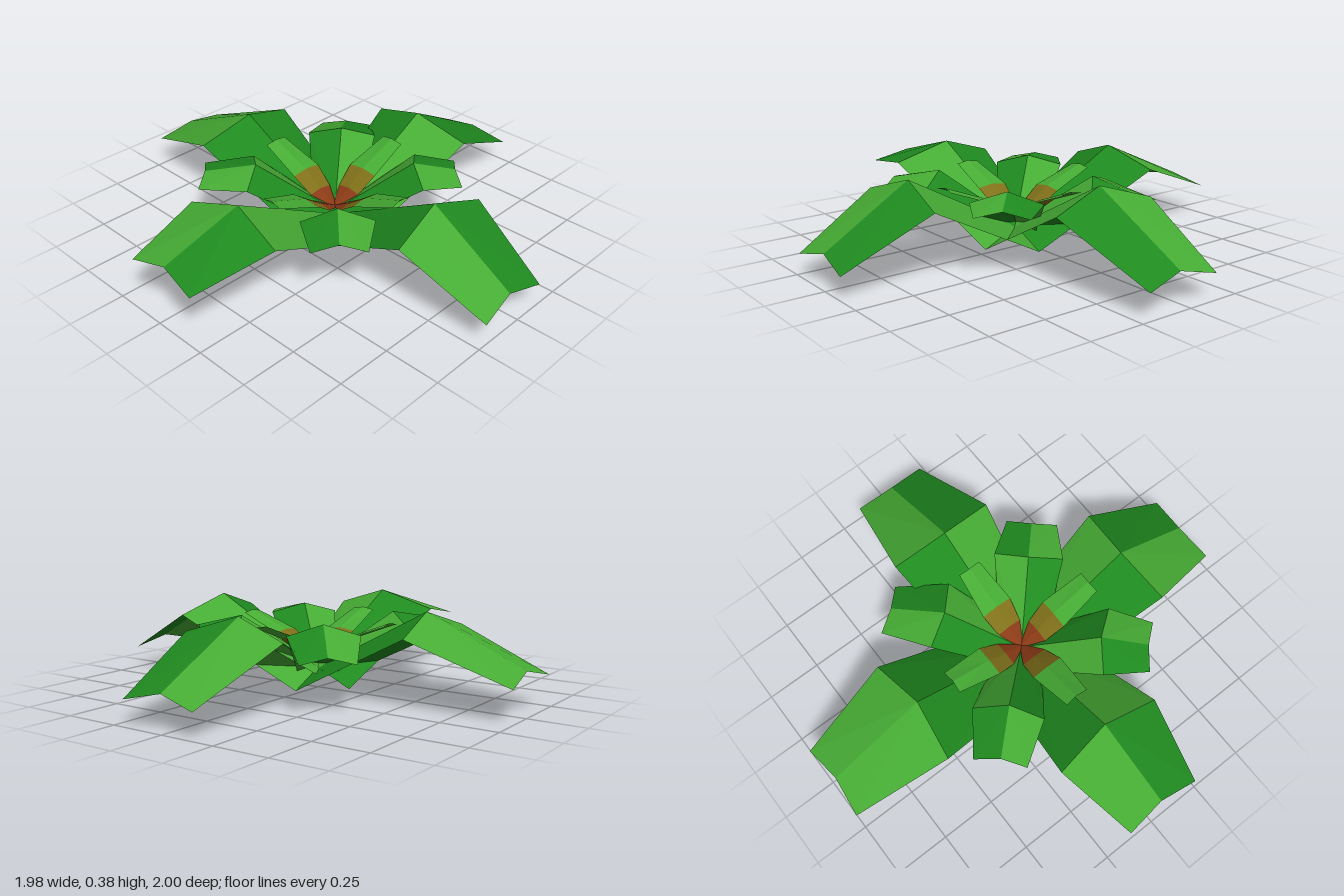
import * as THREE from 'three';

const material = (color) => new THREE.MeshStandardMaterial({ color, flatShading: true, side: THREE.DoubleSide });

// Sections run root to tip: [ridge distance, ridge height, edge distance, edge height, half width].
// colours[i] holds the materials of the two halves (-side, +side) of segment i.
function foldedLeaf(name, degrees, sections, colours) {
  const leaf = new THREE.Group();
  leaf.name = name;
  leaf.rotation.y = THREE.MathUtils.degToRad(degrees);
  const byMaterial = new Map();
  for (let i = 0; i < sections.length - 1; i++) {
    [-1, 1].forEach((side, k) => {
      const ridge = ([d, y]) => [0, y, d];
      const edge = ([, , d, y, w]) => [side * w, y, d];
      const a = ridge(sections[i]), b = ridge(sections[i + 1]);
      const c = edge(sections[i + 1]), d = edge(sections[i]);
      const corners = side > 0 ? [a, b, c, a, c, d] : [a, c, b, a, d, c];
      const mat = colours[i][k];
      if (!byMaterial.has(mat)) byMaterial.set(mat, []);
      byMaterial.get(mat).push(...corners.flat());
    });
  }
  for (const [mat, points] of byMaterial) {
    const geometry = new THREE.BufferGeometry();
    geometry.setAttribute('position', new THREE.Float32BufferAttribute(points, 3));
    geometry.computeVertexNormals();
    const mesh = new THREE.Mesh(geometry, mat);
    mesh.name = name + 'Blade';
    leaf.add(mesh);
  }
  return leaf;
}

export function createModel() {
  const light = material(0x46ac34), deep = material(0x1f8a1f);
  const olive = material(0x80701a), rust = material(0x8a3a16);
  const checkA = [[deep, light], [light, deep]];
  const checkB = [[light, deep], [deep, light]];
  const bands = [[deep, deep], [light, light]];

  const plant = new THREE.Group();
  plant.name = 'plant';
  plant.position.set(-0.04, 0, 0.03);

  // Four long outer leaves: angle, tip reach, tip height, colours
  const outer = [
    [0, 0.97, 0.1, checkA],
    [90, 1.03, 0.105, checkB],
    [180, 1.03, 0.14, bands],
    [-90, 0.955, 0.235, checkA],
  ];
  for (const [angle, reach, tipY, colours] of outer) {
    plant.add(foldedLeaf('outerLeaf', angle, [
      [0, 0.08, 0, 0, 0.17],
      [0.555, 0.38, 0.59, 0.3, 0.255],
      [reach - 0.022, tipY + 0.04, reach, tipY, 0.177],
    ], colours));
  }

  // Four shorter leaves on the diagonals
  const diagonal = [
    [47, 0.545, 0.27, checkA],
    [129, 0.615, 0.21, checkB],
    [-137, 0.585, 0.27, checkB],
    [-44, 0.57, 0.27, checkB],
  ];
  for (const [angle, reach, tipY, colours] of diagonal) {
    plant.add(foldedLeaf('diagonalLeaf', angle, [
      [0, 0.1, 0, 0.05, 0.09],
      [0.345, 0.33, 0.37, 0.285, 0.155],
      [reach - 0.015, tipY + 0.025, reach, tipY, 0.115],
    ], colours));
  }

  // Four narrow inner leaves, rust at the heart and green at the tip
  for (let i = 0; i < 4; i++) {
    plant.add(foldedLeaf('innerLeaf', i * 90, [
      [0, 0.125, 0, 0.12, 0.01],
      [0.09, 0.175, 0.09, 0.165, 0.06],
      [0.18, 0.24, 0.18, 0.23, 0.075],
      [0.375, 0.315, 0.38, 0.305, 0.055],
    ], [[rust, rust], [olive, olive], [light, light]]));
  }

  const model = new THREE.Group();
  model.name = 'leafyPlant';
  model.add(plant);
  return model;
}
